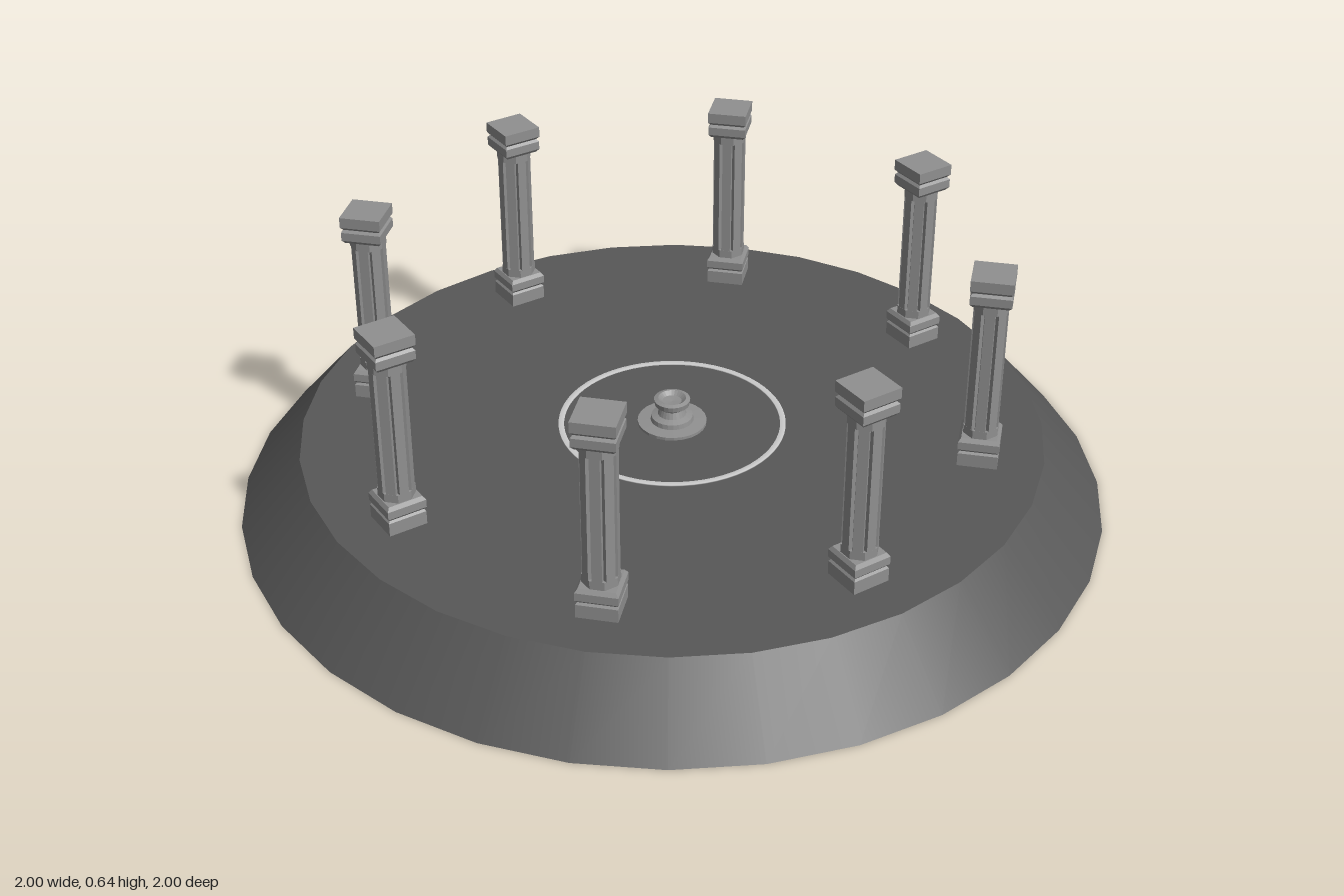
import * as THREE from 'three';

const DECK = 0.165;
const stone = new THREE.MeshStandardMaterial({ color: 0x909090, flatShading: true });
const dark = new THREE.MeshStandardMaterial({ color: 0x585858 });
const pale = new THREE.MeshStandardMaterial({ color: 0xcccccc });

function add(parent, name, geometry, material, y = 0) {
  const mesh = new THREE.Mesh(geometry, material);
  mesh.name = name;
  mesh.position.y = y;
  parent.add(mesh);
  return mesh;
}

// Square moulding: profile of [half width, height] swept around four sides
function squareMoulding(profile) {
  const pts = profile.map(([h, y]) => new THREE.Vector2(h * Math.SQRT2, y));
  return new THREE.LatheGeometry(pts, 4, Math.PI / 4);
}

// Octagonal shaft with a groove cut along every corner
function flutedShaft(height) {
  const shape = new THREE.Shape();
  const apothem = 0.038, half = 0.011;
  for (let i = 0; i < 8; i++) {
    const a = i * Math.PI / 4, c = Math.cos(a), s = Math.sin(a);
    const g = a + Math.PI / 8;
    const p = [apothem * c + half * s, apothem * s - half * c];
    if (i === 0) shape.moveTo(...p); else shape.lineTo(...p);
    shape.lineTo(apothem * c - half * s, apothem * s + half * c);
    shape.lineTo(0.032 * Math.cos(g), 0.032 * Math.sin(g));
  }
  shape.closePath();
  return new THREE.ExtrudeGeometry(shape, { depth: height, bevelEnabled: false }).rotateX(-Math.PI / 2);
}

function createColumn() {
  const column = new THREE.Group();
  column.name = 'column';
  add(column, 'columnBase', squareMoulding([
    [0, 0], [0.045, 0], [0.045, 0.032], [0.041, 0.037], [0.046, 0.043],
    [0.046, 0.062], [0.04, 0.071], [0, 0.071],
  ]), stone);
  add(column, 'columnShaft', flutedShaft(0.30), stone, 0.09);
  // Plain collars at both ends of the grooves
  for (const y of [0.08, 0.4]) {
    const collar = new THREE.CylinderGeometry(0.0412, 0.0412, 0.022, 8);
    collar.rotateY(Math.PI / 8);
    add(column, 'shaftCollar', collar, stone, y);
  }
  add(column, 'capital', squareMoulding([
    [0, 0], [0.04, 0], [0.046, 0.008], [0.046, 0.028], [0.041, 0.034],
    [0.047, 0.041], [0.047, 0.066], [0, 0.066],
  ]), stone, 0.409);
  return column;
}

export function createModel() {
  const model = new THREE.Group();
  model.name = 'columnCircle';

  // Sloped round platform
  add(model, 'platform', new THREE.CylinderGeometry(0.855, 1, DECK, 32), dark, DECK / 2);

  // Eight columns facing the centre
  for (let i = 0; i < 8; i++) {
    const a = i * Math.PI / 4;
    const column = createColumn();
    column.position.set(0.707 * Math.sin(a), DECK, 0.707 * Math.cos(a));
    column.rotation.y = a;
    model.add(column);
  }

  // Thin inlaid ring
  const ring = [[0.25, 0], [0.263, 0], [0.263, 0.003], [0.25, 0.003], [0.25, 0]];
  add(model, 'floorRing', new THREE.LatheGeometry(ring.map(p => new THREE.Vector2(...p)), 64),
    pale, DECK);

  // Small central pedestal with a shallow bowl on top
  const pedestal = [
    [0, 0], [0.08, 0], [0.08, 0.007], [0.05, 0.009], [0.048, 0.02], [0.033, 0.025],
    [0.027, 0.04], [0.04, 0.05], [0.042, 0.063], [0.032, 0.066], [0.022, 0.058], [0, 0.056],
  ];
  add(model, 'pedestal', new THREE.LatheGeometry(pedestal.map(p => new THREE.Vector2(...p)), 24),
    stone, DECK);

  return model;
}
